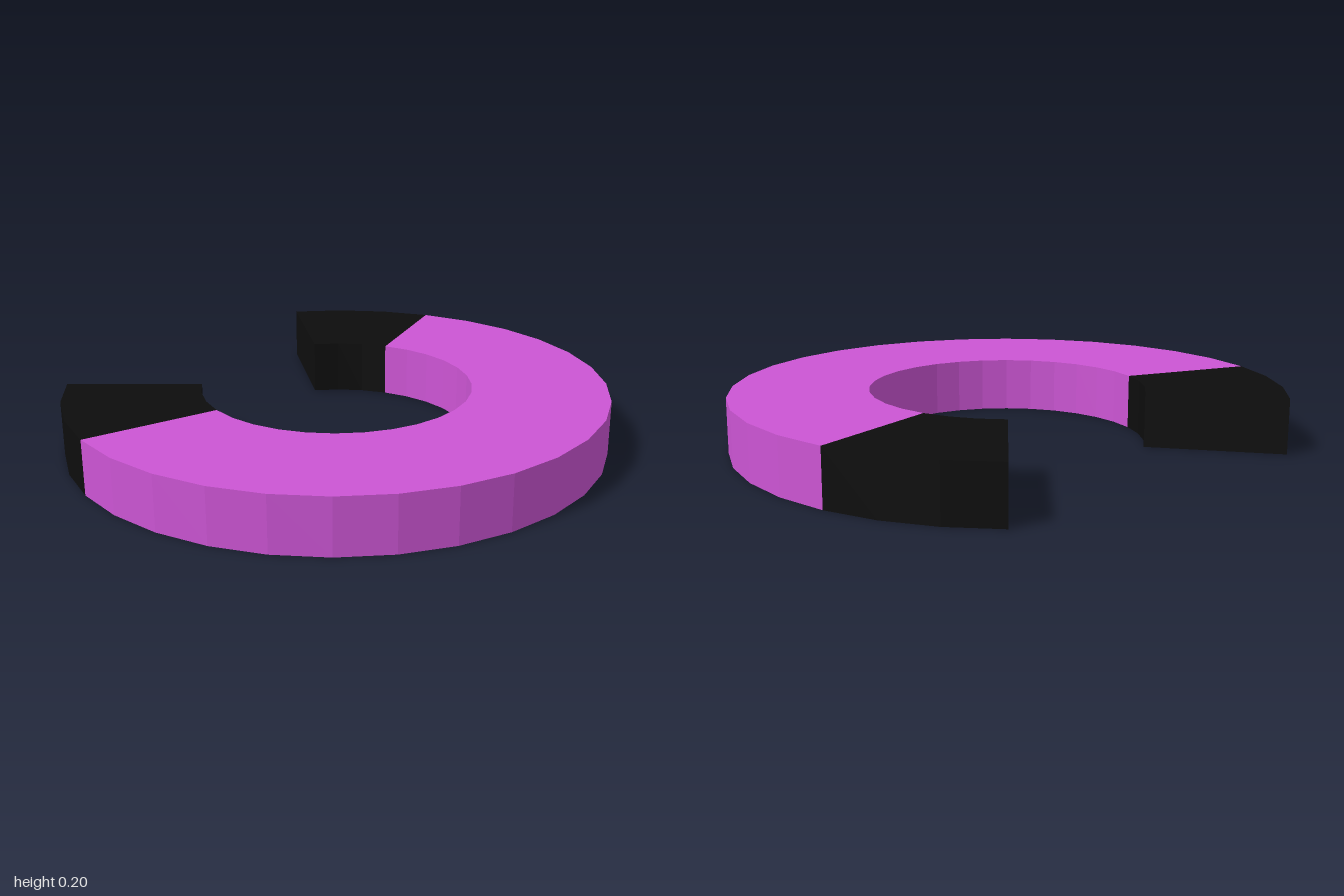
import * as THREE from 'three';

const STEP = Math.PI / 16; // 32-sided ring
const OUTER = 1, INNER = 0.5, HEIGHT = 0.2, CENTER_X = -0.084;

// Flat ring sector between two facet indices (positive runs towards the front)
function sector(name, from, to, material) {
  const outer = [], inner = [];
  for (let i = from; i <= to; i++) {
    const c = Math.cos(i * STEP), s = Math.sin(i * STEP);
    outer.push(new THREE.Vector2(c * OUTER, s * OUTER));
    inner.unshift(new THREE.Vector2(c * INNER, s * INNER));
  }
  const geometry = new THREE.ExtrudeGeometry(new THREE.Shape([...outer, ...inner]), {
    depth: HEIGHT, bevelEnabled: false,
  });
  geometry.rotateX(Math.PI / 2);
  geometry.translate(CENTER_X, HEIGHT, 0);
  const mesh = new THREE.Mesh(geometry, material);
  mesh.name = name;
  return mesh;
}

export function createModel() {
  const group = new THREE.Group();
  group.name = 'openRing';
  const purple = new THREE.MeshStandardMaterial({ color: 0xcc55d4, flatShading: true });
  const black = new THREE.MeshStandardMaterial({ color: 0x0d0d0d, flatShading: true });

  group.add(
    sector('ringBody', -9, 10, purple),
    sector('backTip', -12, -9, black),
    sector('frontTip', 10, 13, black),
  );
  return group;
}
